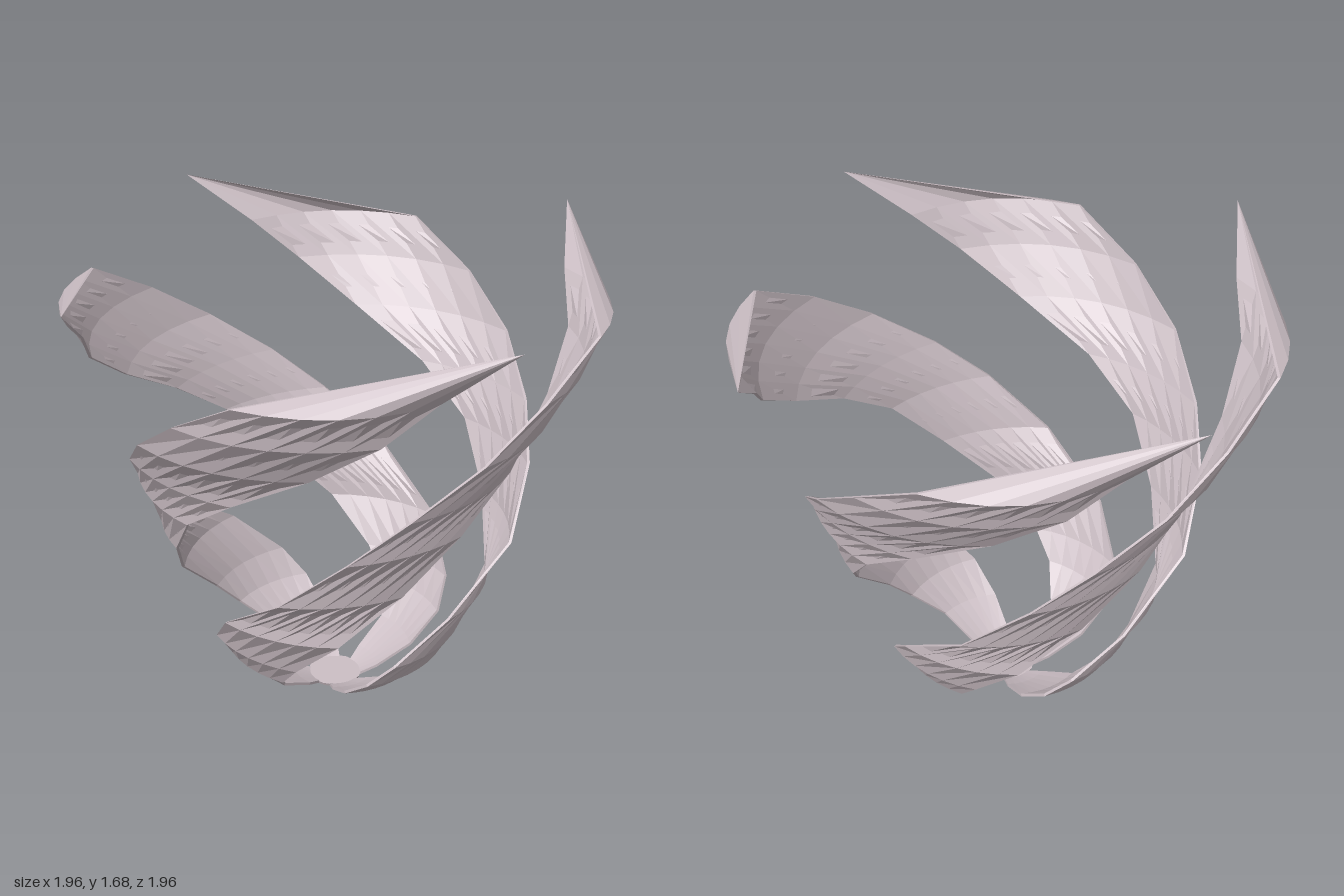
import * as THREE from 'three';

// Ribbon rows: height, then radius and angle (degrees from +z towards +x)
// of the upper edge and of the lower edge, and the outward bulge between them.
const ROWS = [
  [0.00, 0.09, -122, 0.09, -58, 0],
  [0.03, 0.16, -112, 0.16, -55, 0],
  [0.10, 0.29, -102, 0.30, -57, 0],
  [0.20, 0.41, -93, 0.41, -46, 0],
  [0.30, 0.475, -83, 0.47, -36, 0],
  [0.47, 0.55, -63, 0.56, -18, 0],
  [0.67, 0.65, -36, 0.60, 3, 0],
  [0.87, 0.70, -16, 0.65, 21, 0],
  [1.03, 0.74, 0, 0.68, 41, 0],
  [1.20, 0.80, 17.5, 0.745, 64.5, 0.01],
  [1.36, 0.85, 34, 0.84, 80.4, 0.02],
  [1.51, 0.92, 51, 0.885, 92, 0.035],
];
const TIP = new THREE.Vector3(0.98, 1.68, -0.25);
const COLS = 6;
const THICKNESS = 0.01;

// Closed thin cross-section of the ribbon: outer face, then back along the inner face.
function section([y, rU, aU, rL, aL, bulge]) {
  const outer = [];
  for (let i = 0; i <= COLS; i++) {
    const t = i / COLS;
    const r = THREE.MathUtils.lerp(rU, rL, t) + bulge * Math.sin(Math.PI * t);
    const a = THREE.MathUtils.degToRad(THREE.MathUtils.lerp(aU, aL, t));
    outer.push(new THREE.Vector3(r * Math.sin(a), y, r * Math.cos(a)));
  }
  const focus = new THREE.Vector3(0, Math.max(y, 0.5), 0);
  const inner = outer.map((p) =>
    p.clone().add(focus.clone().sub(p).setLength(THICKNESS)));
  return [...outer, ...inner.reverse()];
}

function ribbonGeometry() {
  const rings = ROWS.map(section);
  const positions = [];
  const tri = (...pts) => pts.forEach((p) => positions.push(p.x, p.y, p.z));
  const n = rings[0].length;
  rings.forEach((ring, j) => {
    const next = rings[j + 1];
    for (let i = 0; i < n; i++) {
      const k = (i + 1) % n;
      if (next) {
        tri(ring[i], ring[k], next[k]);
        tri(ring[i], next[k], next[i]);
      } else {
        tri(ring[i], ring[k], TIP); // pointed end
      }
    }
  });
  const geometry = new THREE.BufferGeometry();
  geometry.setAttribute('position', new THREE.Float32BufferAttribute(positions, 3));
  geometry.computeVertexNormals();
  return geometry;
}

export function createModel() {
  const model = new THREE.Group();
  model.name = 'spiralBowl';
  const material = new THREE.MeshStandardMaterial({
    color: 0xccbfc5, flatShading: true, side: THREE.DoubleSide,
  });

  // Four ribbons winding up from the base
  const geometry = ribbonGeometry();
  for (let i = 0; i < 4; i++) {
    const ribbon = new THREE.Mesh(geometry, material);
    ribbon.name = `spiralRibbon${i + 1}`;
    ribbon.rotation.y = (i * Math.PI) / 2;
    model.add(ribbon);
  }

  // Small disc joining the ribbons at the bottom
  const hub = new THREE.Mesh(new THREE.CylinderGeometry(0.1, 0.095, 0.012, 16), material);
  hub.name = 'baseDisc';
  hub.position.y = 0.006;
  model.add(hub);

  return model;
}
